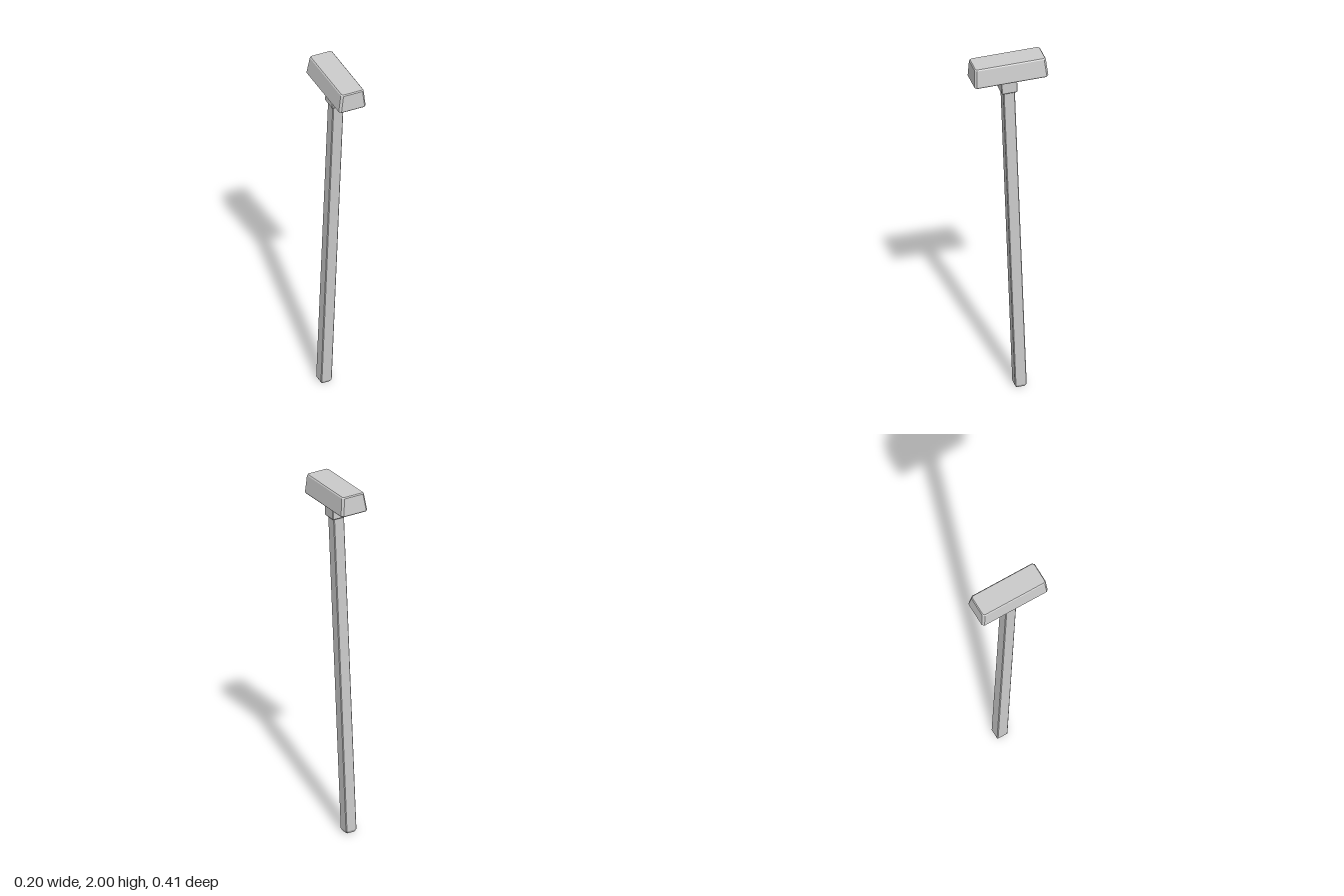
import * as THREE from 'three';

const material = new THREE.MeshStandardMaterial({ color: 0xcccccc, flatShading: true });

// Solid made of stacked chamfered rectangles; each ring is [y, width, depth, chamfer]
function chamferedStack(name, rings) {
  const pos = [], index = [], n = 8;
  for (const [y, w, d, c] of rings) {
    const a = w / 2, b = d / 2;
    const loop = [[a, b - c], [a - c, b], [c - a, b], [-a, b - c], [-a, c - b], [c - a, -b], [a - c, -b], [a, c - b]];
    for (const [x, z] of loop) pos.push(x, y, z);
  }
  for (let r = 0; r < rings.length - 1; r++) {
    for (let i = 0; i < n; i++) {
      const p = r * n + i, q = r * n + (i + 1) % n;
      index.push(p, q + n, q, p, p + n, q + n);
    }
  }
  // end caps
  const top = (rings.length - 1) * n;
  for (let i = 1; i < n - 1; i++) {
    index.push(0, i, i + 1);
    index.push(top, top + i + 1, top + i);
  }
  const indexed = new THREE.BufferGeometry();
  indexed.setAttribute('position', new THREE.Float32BufferAttribute(pos, 3));
  indexed.setIndex(index);
  const geometry = indexed.toNonIndexed();
  geometry.computeVertexNormals();
  const mesh = new THREE.Mesh(geometry, material);
  mesh.name = name;
  return mesh;
}

export function createModel() {
  const model = new THREE.Group();
  model.name = 'hammer';

  // long square shaft with a blunted foot
  const handle = chamferedStack('handle', [
    [0, 0.048, 0.048, 0.004],
    [0.014, 0.063, 0.063, 0.004],
    [1.82, 0.063, 0.063, 0.004],
  ]);

  // socket under the head
  const collar = chamferedStack('collar', [
    [1.803, 0.08, 0.08, 0.003],
    [1.807, 0.086, 0.086, 0.003],
    [1.9, 0.086, 0.086, 0.003],
  ]);

  // block head, narrower towards the top
  const head = chamferedStack('head', [
    [1.886, 0.152, 0.396, 0.011],
    [1.89, 0.157, 0.401, 0.011],
    [1.986, 0.133, 0.386, 0.011],
    [1.992, 0.123, 0.376, 0.008],
  ]);
  head.position.z = -0.005;

  // the whole tool leans and is turned slightly
  const tool = new THREE.Group();
  tool.name = 'tool';
  tool.add(handle, collar, head);
  const up = new THREE.Vector3(0, 1, 0);
  const lean = new THREE.Vector3(0.025, 1.8, 0.077).normalize();
  const turn = new THREE.Quaternion().setFromAxisAngle(up, -0.108);
  tool.quaternion.setFromUnitVectors(up, lean).multiply(turn);
  tool.position.set(-0.027, 0.001, -0.077);
  model.add(tool);
  return model;
}
